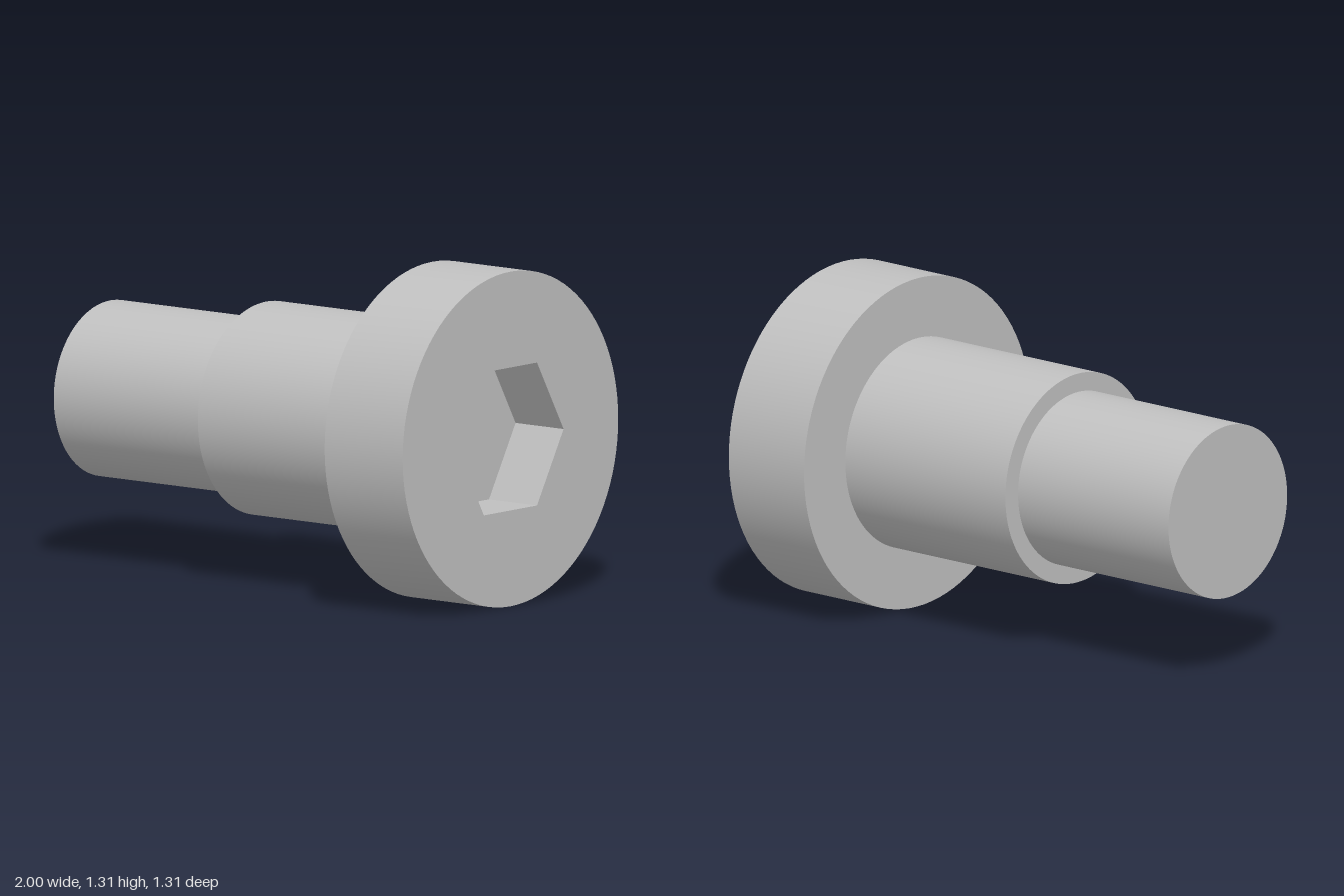
import * as THREE from 'three';
import { toCreasedNormals } from 'three/addons/utils/BufferGeometryUtils.js';

const HEAD_R = 0.653, HEX_R = 0.322, HEX_DEPTH = 0.24, SEGMENTS = 96;

export function createModel() {
  const steel = new THREE.MeshStandardMaterial({ color: 0xbfbfbf });
  steel.name = 'steel grey';

  // Parts are turned around y, then the whole screw is laid along x
  const screw = new THREE.Group();
  screw.name = 'shoulderScrew';
  const add = (name, geometry) => {
    const mesh = new THREE.Mesh(geometry, steel);
    mesh.name = name;
    screw.add(mesh);
  };

  // Stepped body: tip, shank, shoulder and head rim
  const profile = [
    [0, -1], [0.342, -1], [0.342, -0.22], [0.415, -0.22],
    [0.415, 0.61], [HEAD_R, 0.61], [HEAD_R, 1],
  ].map(([r, y]) => new THREE.Vector2(r, y));
  add('body', toCreasedNormals(new THREE.LatheGeometry(profile, SEGMENTS), 0.5));

  // Head face with the hexagonal opening
  const face = new THREE.Shape().absarc(0, 0, HEAD_R, 0, Math.PI * 2, false);
  const corners = Array.from({ length: 6 }, (_, i) => {
    const a = Math.PI / 2 - i * Math.PI / 3;
    return new THREE.Vector2(Math.cos(a) * HEX_R, Math.sin(a) * HEX_R);
  });
  face.holes.push(new THREE.Path(corners).closePath());
  add('headFace', new THREE.ShapeGeometry(face, SEGMENTS / 2).rotateX(-Math.PI / 2).translate(0, 1, 0));

  // Socket walls, mirrored so that they face inward
  const walls = new THREE.CylinderGeometry(HEX_R, HEX_R, HEX_DEPTH, 6, 1, true)
    .scale(-1, 1, 1).translate(0, 1 - HEX_DEPTH / 2, 0).toNonIndexed();
  walls.computeVertexNormals();
  add('socketWalls', walls);

  // Socket floor
  add('socketFloor', new THREE.CircleGeometry(HEX_R, 6, Math.PI / 2)
    .rotateX(-Math.PI / 2).translate(0, 1 - HEX_DEPTH, 0));

  screw.rotation.z = -Math.PI / 2;
  screw.position.y = HEAD_R;

  const model = new THREE.Group();
  model.name = 'model';
  model.add(screw);
  return model;
}
